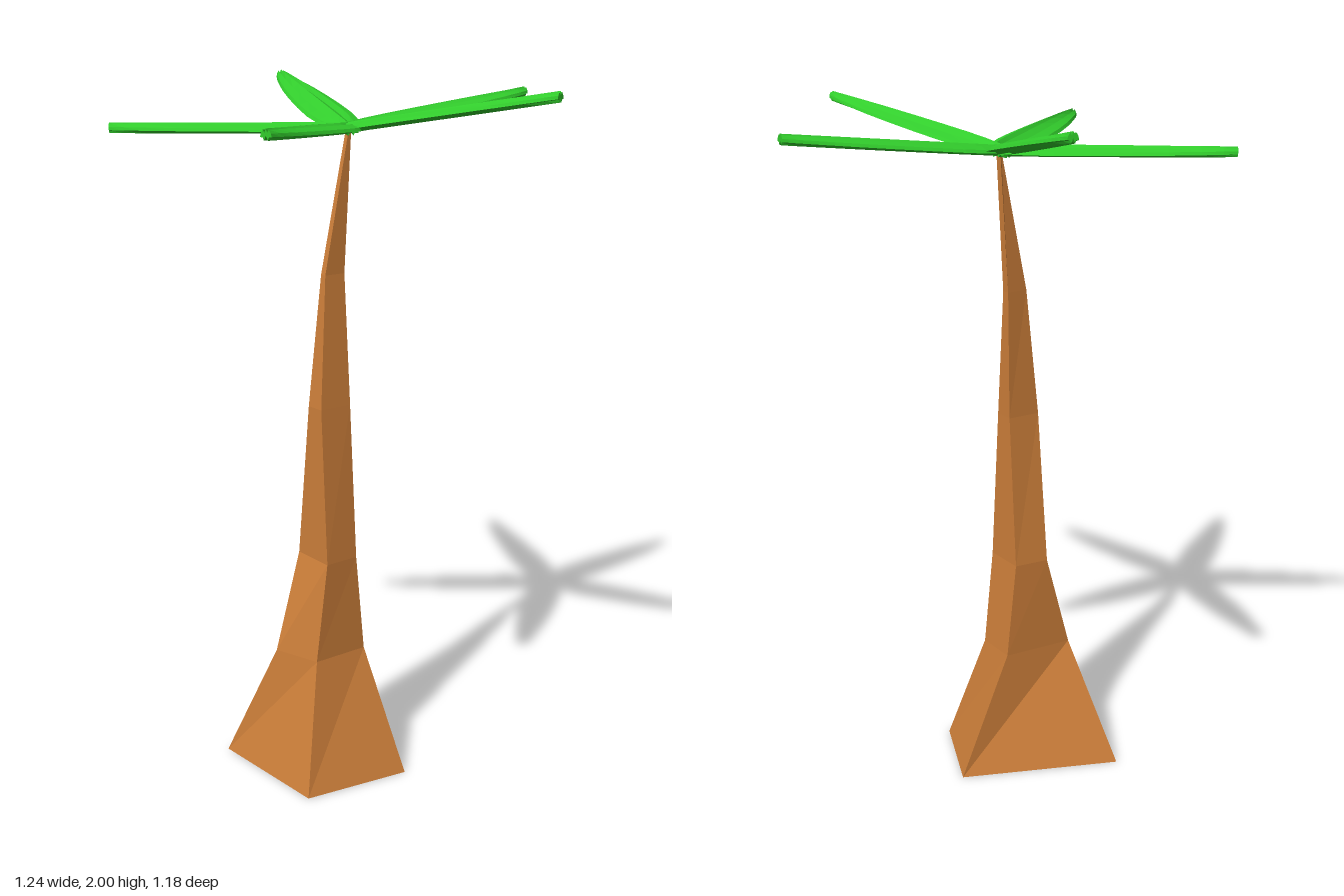
import * as THREE from 'three';

// Skin closed rings of points, capping both ends with a fan around the ring centre
function loft(rings) {
  const pos = [];
  const tri = (...pts) => pts.forEach((p) => pos.push(p.x, p.y, p.z));
  const n = rings[0].length;
  for (let i = 0; i < rings.length - 1; i++) {
    for (let j = 0; j < n; j++) {
      const k = (j + 1) % n;
      const [a, b, c, d] = [rings[i][j], rings[i][k], rings[i + 1][k], rings[i + 1][j]];
      tri(a, b, c);
      tri(a, c, d);
    }
  }
  const cap = (ring, flip) => {
    const mid = ring.reduce((s, p) => s.add(p), new THREE.Vector3()).divideScalar(n);
    ring.forEach((p, j) => {
      const q = ring[(j + 1) % n];
      if (flip) tri(mid, q, p);
      else tri(mid, p, q);
    });
  };
  cap(rings[0], true);
  cap(rings[rings.length - 1], false);
  const geo = new THREE.BufferGeometry();
  geo.setAttribute('position', new THREE.Float32BufferAttribute(pos, 3));
  geo.computeVertexNormals();
  return geo;
}

// Height, then x,z of the four corners: front right, front left, back left, back right
const TRUNK = [
  [0, -0.24, 0.35, 0.15, 0.325, 0.2, 0.01, -0.06, -0.1],
  [0.37, -0.075, 0.275, 0.065, 0.23, 0.065, 0.06, -0.06, 0.06],
  [0.66, -0.075, 0.19, 0.065, 0.19, 0.062, 0.085, -0.065, 0.085],
  [1.11, -0.025, 0.185, 0.035, 0.185, 0.035, 0.085, -0.025, 0.085],
  [1.48, -0.016, 0.145, 0.004, 0.145, 0.004, 0.08, -0.021, 0.08],
  [1.88, -0.008, 0.062, 0.005, 0.062, 0.005, 0.055, -0.015, 0.055],
];

// Ribbed frond cross-section: across (-1..1), height
const RIBS = [
  [-1, -0.2], [-0.52, -0.25], [-0.36, -0.5], [0, -0.1], [0.36, -0.5], [0.52, -0.25],
  [1, -0.2], [0.9, 0.1], [0.52, 0.4], [0.36, 0], [0, 0.5], [-0.36, 0], [-0.52, 0.4], [-0.9, 0.1],
];

// Position along the frond, half width
const OUTLINE = [
  [-0.03, 0.02], [0.02, 0.045], [0.08, 0.062], [0.15, 0.069], [0.25, 0.067],
  [0.36, 0.06], [0.46, 0.05], [0.55, 0.036], [0.61, 0.025], [0.65, 0.014],
];

// Frond tips
const TIPS = [
  [-0.005, 1.947, -0.59],
  [0.612, 1.978, -0.127],
  [-0.615, 1.986, -0.14],
  [0.378, 1.908, 0.58],
  [-0.38, 1.875, 0.58],
];

export function createModel() {
  const model = new THREE.Group();
  model.name = 'palmTree';
  const bark = new THREE.MeshStandardMaterial({ color: 0xcd7f3a, flatShading: true });
  const leaf = new THREE.MeshStandardMaterial({ color: 0x32cd2c, flatShading: true });

  // Bent, tapering four-sided trunk
  const trunk = new THREE.Mesh(loft(TRUNK.map(([y, ...c]) =>
    [0, 2, 4, 6].map((i) => new THREE.Vector3(c[i], y, c[i + 1])))), bark);
  trunk.name = 'trunk';
  model.add(trunk);

  // Five ribbed fronds spreading from the crown
  const fronds = new THREE.Group();
  fronds.name = 'fronds';
  const crown = new THREE.Vector3(-0.003, 1.874, 0.062);
  const up = new THREE.Vector3(0, 1, 0);
  TIPS.forEach((tip, i) => {
    const along = new THREE.Vector3(...tip).sub(crown);
    const across = new THREE.Vector3().crossVectors(up, along).normalize();
    const rings = OUTLINE.map(([s, w]) => RIBS.map(([u, v]) =>
      crown.clone().addScaledVector(along, s / 0.65)
        .addScaledVector(across, u * w).addScaledVector(up, v * 0.028)));
    const frond = new THREE.Mesh(loft(rings), leaf);
    frond.name = `frond${i + 1}`;
    fronds.add(frond);
  });
  model.add(fronds);
  return model;
}
